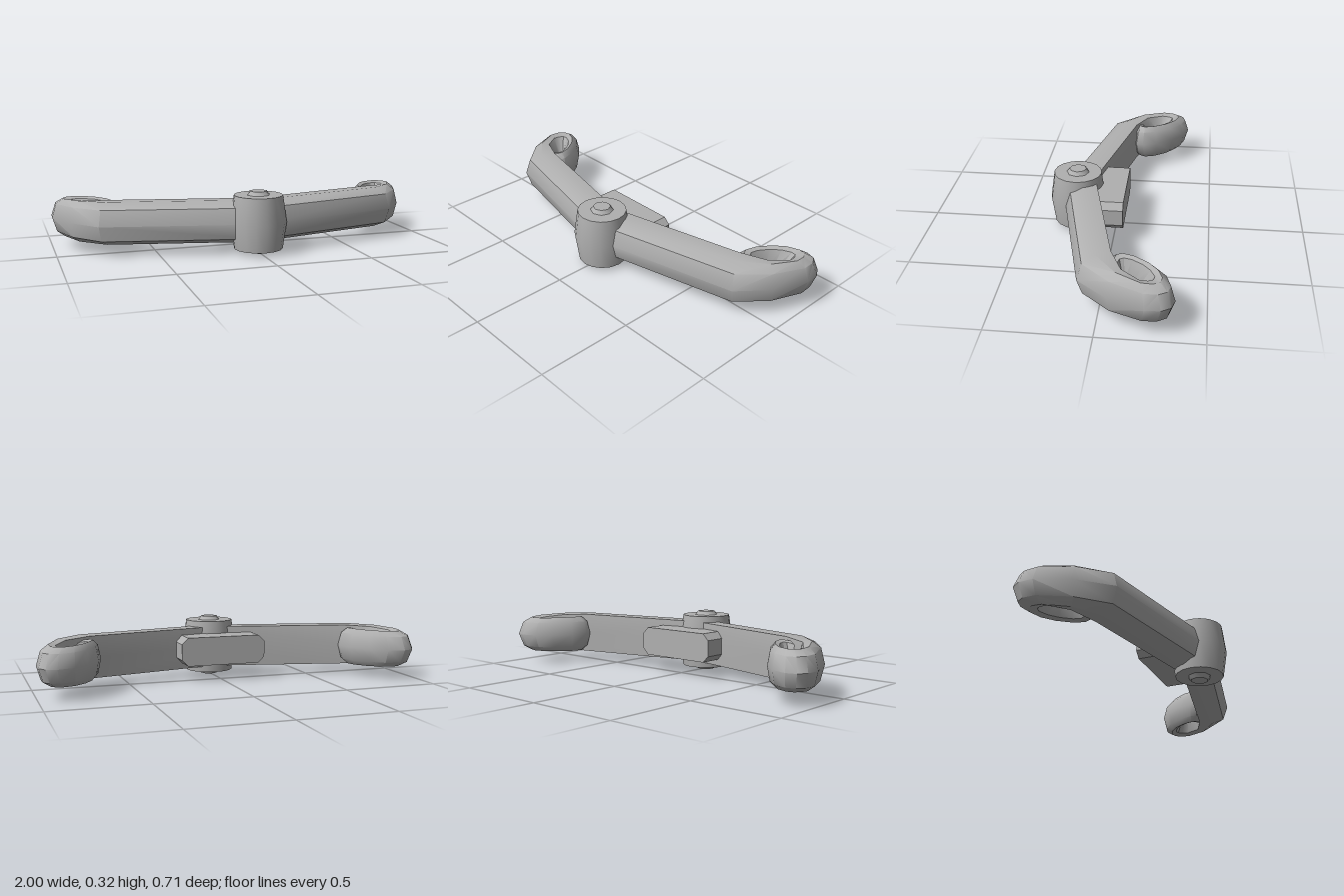
import * as THREE from 'three';
import { toCreasedNormals } from 'three/addons/utils/BufferGeometryUtils.js';

const MID_Y = 0.16;
const HUB_Z = 0.205;

// Stations along one arm: outer x, outer z, inner x, inner z, height scale, inner bevel 0..1
const STATIONS = [
  [0.00, 0.285, -0.03, 0.115, 1.00, 0],
  [0.80, 0.10, 0.706, -0.053, 1.00, 0],
  [0.925, -0.05, 0.82, -0.12, 0.97, 0.5],
  [0.998, -0.22, 0.85, -0.18, 0.91, 1],
  [0.995, -0.295, 0.85, -0.20, 0.88, 1],
  [0.967, -0.34, 0.845, -0.21, 0.87, 1],
  [0.915, -0.355, 0.835, -0.21, 0.87, 1],
  [0.83, -0.33, 0.81, -0.19, 0.88, 1],
  [0.755, -0.265, 0.785, -0.165, 0.89, 1],
  [0.69, -0.17, 0.768, -0.135, 0.90, 1],
  [0.663, -0.09, 0.768, -0.12, 0.90, 1],
  [0.672, -0.05, 0.775, -0.112, 0.88, 1],
  [0.72, -0.03, 0.79, -0.11, 0.84, 1],
  [0.79, -0.05, 0.81, -0.11, 0.70, 1],
];

// Eight-cornered cross-section: rounded outer face, sloped shoulder, flat top, inner face
function section([ox, oz, ix, iz, h, bevel], side) {
  const mix = THREE.MathUtils.lerp;
  const upper = [
    [0.15, 0.08],
    [mix(0.53, 0.42, bevel), 0.11],
    [mix(0.97, 0.66, bevel), mix(0.108, 0.1, bevel)],
  ];
  const lower = upper.map(([t, y]) => [t, -y]).reverse();
  return [[0, 0], ...upper, [1, 0], ...lower].map(([t, y]) =>
    new THREE.Vector3(side * mix(ox, ix, t), MID_Y + y * h, mix(oz, iz, t)));
}

// Lofts the stations into a scroll-ended arm
function armGeometry(side) {
  const rings = STATIONS.map((s) => section(s, side));
  const pos = [];
  const tri = (a, b, c) => {
    for (const v of side > 0 ? [a, b, c] : [a, c, b]) pos.push(v.x, v.y, v.z);
  };
  const n = rings[0].length;
  for (let i = 0; i < rings.length - 1; i++) {
    for (let j = 0; j < n; j++) {
      const k = (j + 1) % n;
      tri(rings[i][j], rings[i + 1][j], rings[i + 1][k]);
      tri(rings[i][j], rings[i + 1][k], rings[i][k]);
    }
  }
  const end = rings[rings.length - 1];
  for (let j = 1; j < n - 1; j++) tri(end[0], end[j], end[j + 1]);
  const geo = new THREE.BufferGeometry();
  geo.setAttribute('position', new THREE.Float32BufferAttribute(pos, 3));
  return toCreasedNormals(geo, 0.7);
}

// Turned part with crisp rims
function turned(profile, segments) {
  const geo = new THREE.LatheGeometry(profile.map(([r, y]) => new THREE.Vector2(r, y)), segments);
  return toCreasedNormals(geo, 0.7);
}

export function createModel() {
  const model = new THREE.Group();
  model.name = 'scrolledCrossguard';
  const metal = new THREE.MeshStandardMaterial({ color: 0xb0b0b0 });
  metal.name = 'grey metal';

  const add = (name, geo, x = 0, y = 0, z = 0) => {
    const mesh = new THREE.Mesh(geo, metal);
    mesh.name = name;
    mesh.position.set(x, y, z);
    model.add(mesh);
  };

  // Arms with curled ends
  add('leftArm', armGeometry(1));
  add('rightArm', armGeometry(-1));

  // Barrel-shaped hub
  add('hub', turned([[0, 0.022], [0.126, 0.022], [0.146, MID_Y], [0.126, 0.3], [0, 0.3]], 16), 0, 0, HUB_Z);

  // Faceted studs above and below the hub
  add('topStud', turned([[0.061, 0.298], [0.045, 0.32], [0, 0.32]], 8), 0, 0, HUB_Z);
  add('bottomStud', turned([[0, 0], [0.045, 0], [0.061, 0.024]], 8), 0, 0, HUB_Z);

  // Chamfered block behind the hub
  const w = 0.23, h = 0.075, c = 0.033;
  const outline = new THREE.Shape([
    [w, c - h], [w, h - c], [w - c, h], [c - w, h],
    [-w, h - c], [-w, c - h], [c - w, -h], [w - c, -h],
  ].map(([x, y]) => new THREE.Vector2(x, y)));
  const block = new THREE.ExtrudeGeometry(outline, { depth: 0.2, bevelEnabled: false });
  add('backBlock', block, 0, MID_Y, -0.055);

  return model;
}
